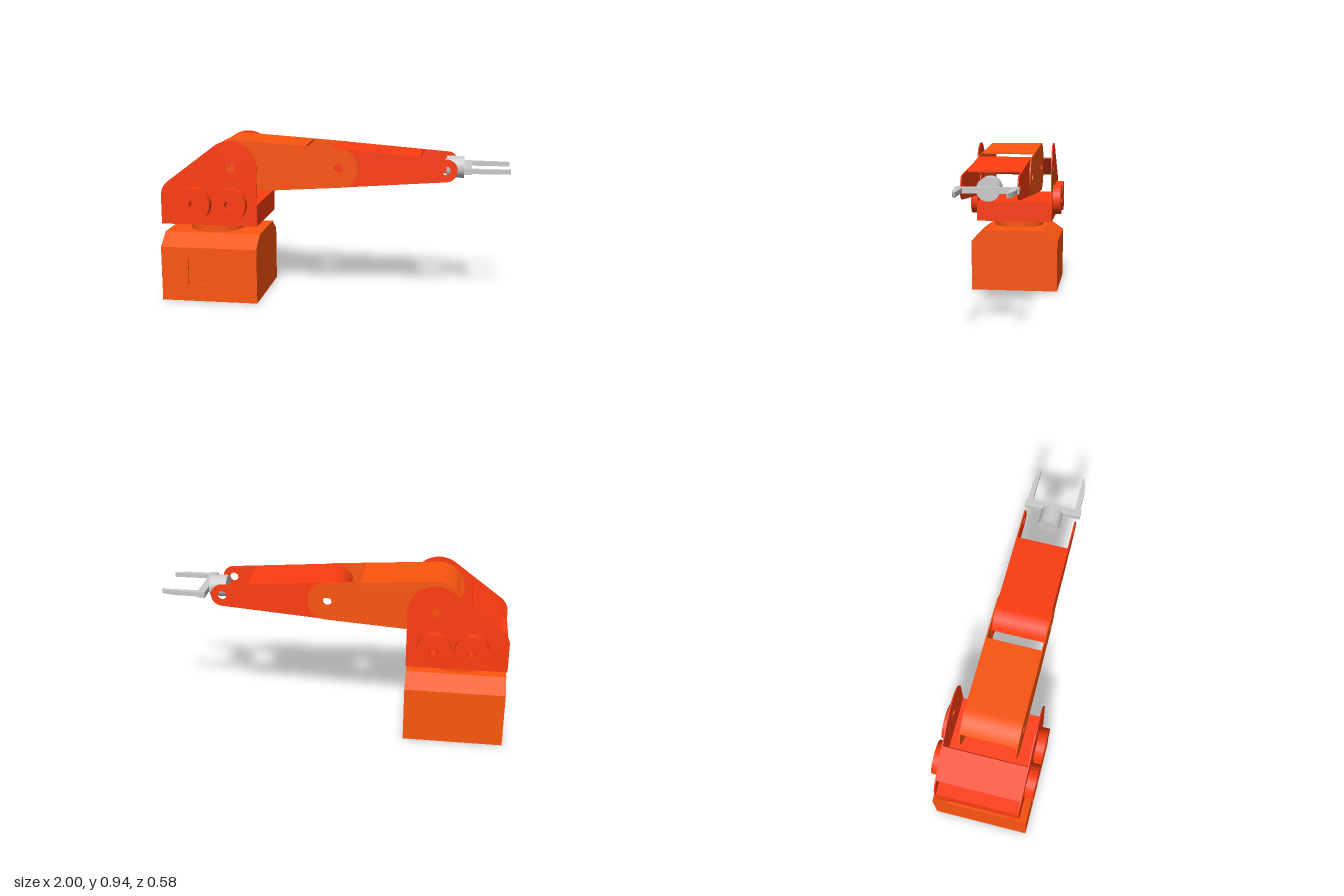
import * as THREE from 'three';
import { toCreasedNormals } from 'three/addons/utils/BufferGeometryUtils.js';

const orange = new THREE.MeshStandardMaterial({ color: 0xfe560f });
const red = new THREE.MeshStandardMaterial({ color: 0xff3d10 });
const grey = new THREE.MeshStandardMaterial({ color: 0xcccccc });

const Y = 0.79;            // height of the joint axes
const SHOULDER = -0.585, ELBOW = 0.03, WRIST = 0.64;
const HOLE = 0.025;

function add(parent, name, geometry, material) {
  const mesh = new THREE.Mesh(geometry, material);
  mesh.name = name;
  parent.add(mesh);
  return mesh;
}

// Extrude a front-view shape from z0 to z1
function slab(shape, z0, z1) {
  const geo = new THREE.ExtrudeGeometry(shape, { depth: z1 - z0, bevelEnabled: false, curveSegments: 32 });
  geo.translate(0, 0, z0);
  return toCreasedNormals(geo, 0.5);
}

function box(x0, x1, y0, y1, z0, z1) {
  return new THREE.BoxGeometry(x1 - x0, y1 - y0, z1 - z0)
    .translate((x0 + x1) / 2, (y0 + y1) / 2, (z0 + z1) / 2);
}

function poly(points) {
  return new THREE.Shape(points.map(p => new THREE.Vector2(...p)));
}

function drill(shape, x, y, r = HOLE) {
  const hole = new THREE.Path();
  hole.absarc(x, y, r, 0, Math.PI * 2, true);
  shape.holes.push(hole);
  return shape;
}

// One arm link: two tapered side plates joined by a cover over the top
function armLink(name, material, xA, rA, xB, rB, zIn, zOut, coverStart, coverEnd) {
  const link = new THREE.Group();
  link.name = name;
  const s = Math.asin((rA - rB) / (xB - xA));
  const top = Math.PI / 2 - s, t = 0.012;

  const plate = new THREE.Shape();
  plate.absarc(xA, Y, rA, top, 2 * Math.PI - top, false);
  plate.absarc(xB, Y, rB, -top, top, false);
  drill(plate, xA, Y);
  drill(plate, xB, Y);
  add(link, name + 'LeftPlate', slab(plate, zIn, zOut), material);
  add(link, name + 'RightPlate', slab(plate, -zOut, -zIn), material);

  const endY = Y + rA / Math.cos(s) - Math.tan(s) * (coverEnd - xA);
  const cover = new THREE.Shape();
  cover.absarc(xA, Y, rA, coverStart, top, true);
  cover.lineTo(coverEnd, endY);
  cover.lineTo(coverEnd, endY - t);
  cover.absarc(xA, Y, rA - t, top, coverStart, false);
  add(link, name + 'Cover', slab(cover, -zIn, zIn), material);
  return link;
}

function buildBase() {
  const base = new THREE.Group();
  base.name = 'base';
  // Chamfered body; its front is set back behind the recessed panel frame
  const section = poly([[-0.265, 0], [0.277, 0], [0.277, 0.322], [0.18, 0.392],
    [-0.18, 0.392], [-0.277, 0.322], [-0.265, 0.322]]);
  const body = new THREE.ExtrudeGeometry(section, { depth: 0.57, bevelEnabled: false });
  body.rotateY(Math.PI / 2).translate(-1, 0, 0);
  add(base, 'baseBody', body, orange);

  const frame = poly([[-1, 0], [-0.43, 0], [-0.43, 0.322], [-1, 0.322]]);
  frame.holes.push(new THREE.Path([[-0.84, 0.1], [-0.84, 0.26], [-0.615, 0.26], [-0.615, 0.1]]
    .map(p => new THREE.Vector2(...p))));
  add(base, 'frontPanelFrame', slab(frame, 0.265, 0.277), orange);

  const turntable = new THREE.CylinderGeometry(0.16, 0.16, 0.065, 48).translate(-0.727, 0.4235, 0);
  add(base, 'turntable', turntable, orange);
  return base;
}

function buildShoulder() {
  const shoulder = new THREE.Group();
  shoulder.name = 'shoulder';
  const r = 0.155, corner = 0.11, tangent = Math.PI - Math.atan2(0.8, 0.6);

  // Side plates with a round top and sloping back edge
  const plate = new THREE.Shape();
  plate.moveTo(-1, 0.453);
  plate.lineTo(-0.43, 0.453);
  plate.absarc(SHOULDER, Y, r, 0, tangent, false);
  plate.absarc(-1 + corner, 0.6175, corner, tangent, Math.PI, false);
  drill(plate, SHOULDER, Y);

  for (const [side, sign] of [['left', 1], ['right', -1]]) {
    const z = (a, b) => sign > 0 ? [a, b] : [-b, -a];
    add(shoulder, side + 'ShoulderPlate', slab(plate, ...z(0.233, 0.24)), red);
    // Drive hubs with a bored centre
    for (const x of [-0.795, SHOULDER]) {
      const hub = new THREE.Shape();
      hub.absarc(x, 0.58, 0.097, 0, Math.PI * 2, false);
      drill(hub, x, 0.58);
      add(shoulder, side + 'DriveHub', slab(hub, ...z(0.24, 0.29)), red);
    }
  }

  add(shoulder, 'shoulderFloor', box(-1, -0.43, 0.453, 0.58, -0.233, 0.233), red);
  const back = poly([[-0.95, 0.71], [-0.945, 0.704], [-0.78, 0.828], [-0.785, 0.834]]);
  add(shoulder, 'slopingBackPanel', slab(back, -0.233, 0.233), red);
  return shoulder;
}

function buildGripper() {
  const gripper = new THREE.Group();
  gripper.name = 'gripper';
  const wrist = new THREE.CylinderGeometry(0.063, 0.063, 0.1, 40).rotateZ(Math.PI / 2).translate(0.69, Y, 0);
  add(gripper, 'wrist', wrist, grey);
  add(gripper, 'palm', box(0.74, 0.785, 0.773, 0.805, -0.165, 0.165), grey);

  // Fingers drawn in plan, curving in to the tip
  for (const sign of [1, -1]) {
    const finger = new THREE.Shape();
    finger.moveTo(0.78, sign * 0.127);
    finger.lineTo(1, sign * 0.127);
    finger.lineTo(1, sign * 0.133);
    finger.quadraticCurveTo(0.95, sign * 0.155, 0.89, sign * 0.157);
    finger.lineTo(0.78, sign * 0.157);
    const geo = slab(finger, -0.013, 0.013).rotateX(Math.PI / 2).translate(0, Y, 0);
    add(gripper, sign > 0 ? 'leftFinger' : 'rightFinger', geo, grey);
  }
  return gripper;
}

export function createModel() {
  const model = new THREE.Group();
  model.name = 'robotArm';
  model.add(
    buildBase(),
    buildShoulder(),
    armLink('upperArm', orange, SHOULDER, 0.153, ELBOW, 0.112, 0.153, 0.16, 2.53, -0.16),
    armLink('forearm', red, ELBOW, 0.112, WRIST, 0.065, 0.146, 0.153, 2.87, 0.495),
    buildGripper(),
  );
  return model;
}
